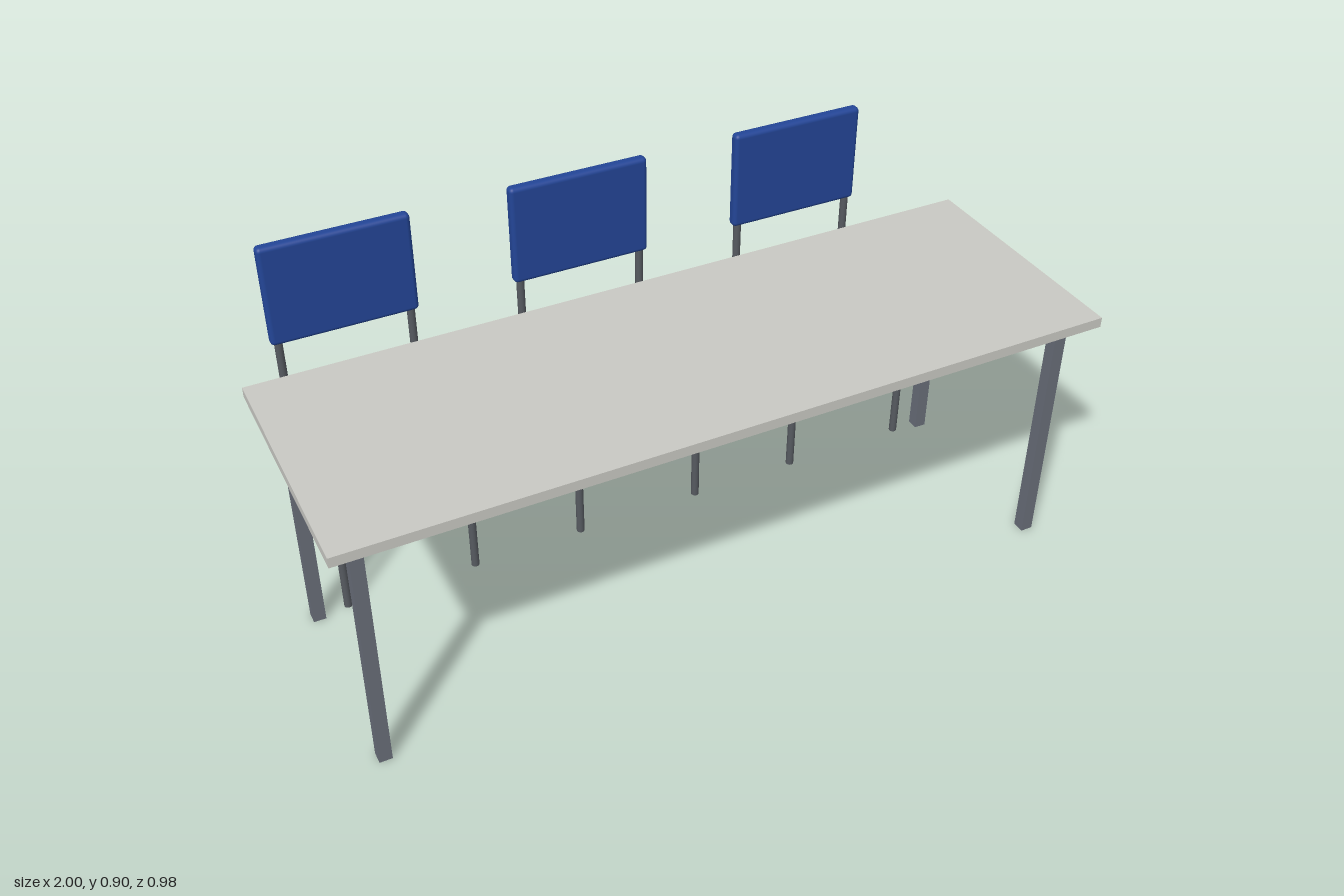
import * as THREE from 'three';
import { RoundedBoxGeometry } from 'three/addons/geometries/RoundedBoxGeometry.js';

function material(name, color) {
  const m = new THREE.MeshStandardMaterial({ color });
  m.name = name;
  return m;
}

export function createModel() {
  const topGrey = material('light grey laminate', 0xc9c9c3);
  const legGrey = material('slate grey metal', 0x686d78);
  const tubeGrey = material('dark grey metal', 0x565a60);
  const blue = material('blue upholstery', 0x234596);

  const model = new THREE.Group();
  model.name = 'tableWithChairs';

  function add(parent, name, geometry, mat, x, y, z) {
    const mesh = new THREE.Mesh(geometry, mat);
    mesh.name = name;
    mesh.position.set(x, y, z);
    parent.add(mesh);
  }

  // Table: thin top on four square legs
  const table = new THREE.Group();
  table.name = 'table';
  table.position.z = 0.155;
  model.add(table);
  add(table, 'tableTop', new THREE.BoxGeometry(2, 0.027, 0.666), topGrey, 0, 0.6985, 0);
  const tableLeg = new THREE.BoxGeometry(0.033, 0.685, 0.033);
  for (const sx of [-1, 1])
    for (const sz of [-1, 1])
      add(table, 'tableLeg', tableLeg, legGrey, sx * 0.928, 0.3425, sz * 0.262);

  // Chairs: padded seat and back on round tubes
  const seat = new RoundedBoxGeometry(0.397, 0.042, 0.397, 3, 0.014);
  const backrest = new RoundedBoxGeometry(0.397, 0.287, 0.033, 3, 0.012);
  const frontLeg = new THREE.CylinderGeometry(0.011, 0.011, 0.41, 12);
  const backPost = new THREE.CylinderGeometry(0.011, 0.011, 0.63, 12);

  for (const x of [-0.667, 0, 0.667]) {
    const chair = new THREE.Group();
    chair.name = 'chair';
    chair.position.set(x, 0, -0.29);
    model.add(chair);
    add(chair, 'seat', seat, blue, 0, 0.424, 0);
    add(chair, 'backrest', backrest, blue, 0, 0.7585, -0.177);
    for (const s of [-1, 1]) {
      add(chair, 'frontLeg', frontLeg, tubeGrey, s * 0.178, 0.205, 0.177);
      add(chair, 'backPost', backPost, tubeGrey, s * 0.178, 0.315, -0.177);
    }
  }
  return model;
}
